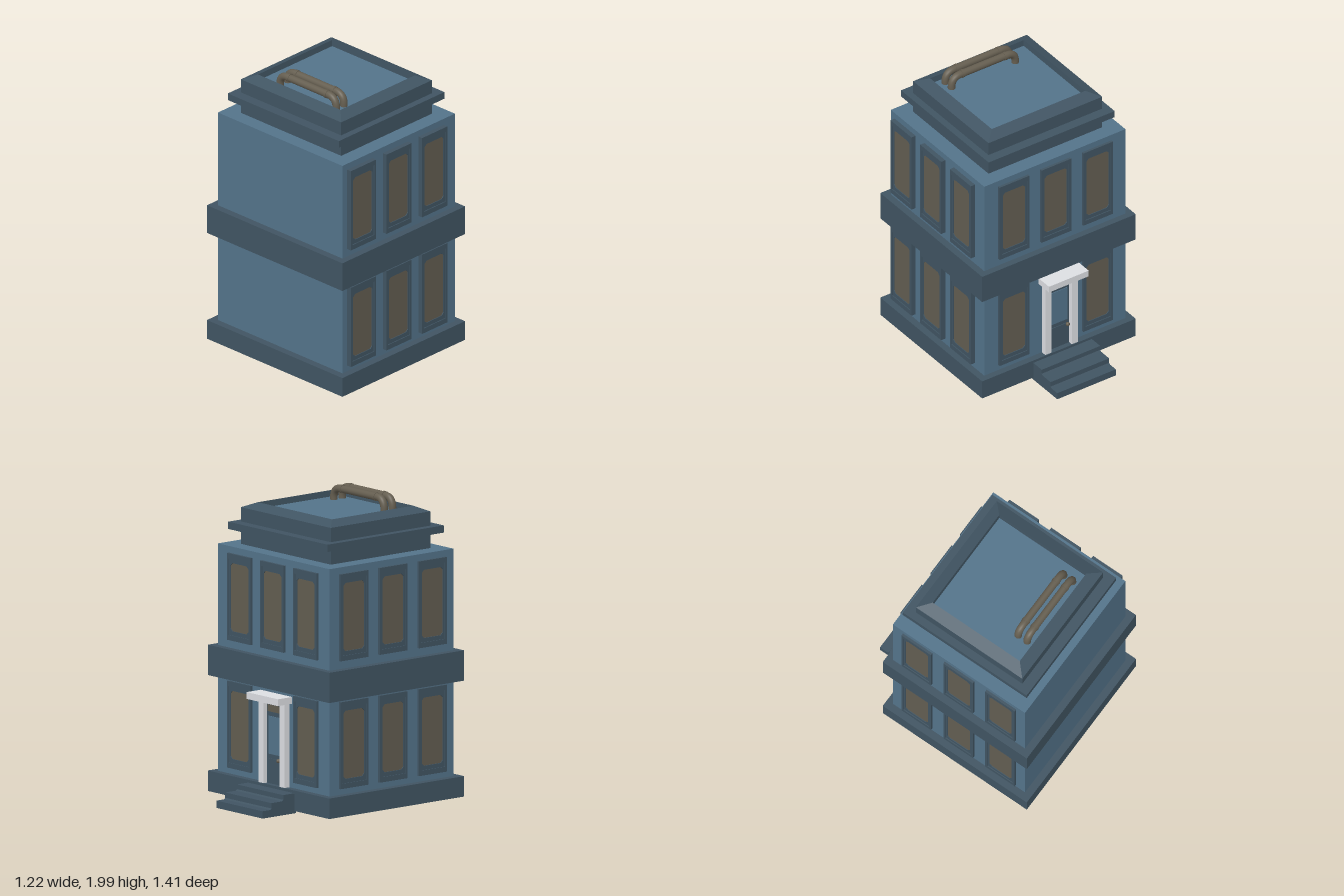
import * as THREE from 'three';

const mat = (name, color) => {
  const m = new THREE.MeshStandardMaterial({ color });
  m.name = name;
  return m;
};

export function createModel() {
  const wall = mat('wall blue', 0x53738a);
  const trim = mat('dark trim', 0x405462);
  const glass = mat('window glass', 0x625d51);
  const pipe = mat('pipe bronze', 0x655e50);
  const white = mat('porch white', 0xdcdee2);

  const building = new THREE.Group();
  building.name = 'building';

  const add = (parent, name, geo, material, x = 0, y = 0, z = 0) => {
    const mesh = new THREE.Mesh(geo, material);
    mesh.name = name;
    mesh.position.set(x, y, z);
    parent.add(mesh);
    return mesh;
  };
  // Box given by its limits on each axis
  const box = (parent, name, material, x0, x1, y0, y1, z0, z1) =>
    add(parent, name, new THREE.BoxGeometry(x1 - x0, y1 - y0, z1 - z0), material,
      (x0 + x1) / 2, (y0 + y1) / 2, (z0 + z1) / 2);

  // Main masses
  box(building, 'base', trim, -0.61, 0.605, 0.02, 0.155, -0.435, 0.71);
  box(building, 'walls', wall, -0.56, 0.557, 0.155, 1.655, -0.39, 0.66);
  box(building, 'middleBand', trim, -0.61, 0.605, 0.785, 0.985, -0.435, 0.71);
  box(building, 'roofLedge', trim, -0.5, 0.497, 1.755, 1.803, -0.355, 0.63);

  // Hollow roof cap lofted through rectangles [half width, y, half depth]
  const loft = (levels) => {
    const pos = [];
    const corner = ([w, y, d], k) => {
      const [sx, sz] = [[1, 1], [1, -1], [-1, -1], [-1, 1]][k % 4];
      return [w * sx, y, d * sz];
    };
    for (let i = 0; i < levels.length - 1; i++) {
      for (let k = 0; k < 4; k++) {
        const a = corner(levels[i], k), b = corner(levels[i], k + 1);
        const c = corner(levels[i + 1], k + 1), d = corner(levels[i + 1], k);
        pos.push(...a, ...b, ...c, ...a, ...c, ...d);
      }
    }
    const g = new THREE.BufferGeometry();
    g.setAttribute('position', new THREE.Float32BufferAttribute(pos, 3));
    g.computeVertexNormals();
    return g;
  };
  add(building, 'roofCap', loft([
    [0.45, 1.65, 0.423], [0.45, 1.897, 0.423], [0.37, 1.932, 0.346], [0.367, 1.885, 0.343],
  ]), trim, 0, 0, 0.137);
  const floor = add(building, 'roofFloor', new THREE.PlaneGeometry(0.735, 0.687), wall, 0, 1.89, 0.137);
  floor.rotation.x = -Math.PI / 2;

  // Windows: stepped frame around a pane with clipped corners, facing +z
  const outline = (w, h, c, Type = THREE.Shape) => {
    const x = w / 2, y = h / 2;
    const pts = c
      ? [[-x + c, -y], [x - c, -y], [x, -y + c], [x, y - c], [x - c, y], [-x + c, y], [-x, y - c], [-x, -y + c]]
      : [[-x, -y], [x, -y], [x, y], [-x, y]];
    return new Type(pts.map((p) => new THREE.Vector2(...p)));
  };
  const frame = (w, h, iw, ih, c, depth) => {
    const s = outline(w, h, 0);
    s.holes.push(outline(iw, ih, c, THREE.Path));
    return new THREE.ExtrudeGeometry(s, { depth, bevelEnabled: false });
  };
  const outerFrame = frame(0.235, 0.573, 0.203, 0.505, 0, 0.035);
  const innerFrame = frame(0.205, 0.507, 0.178, 0.45, 0.018, 0.025);
  const paneGeo = new THREE.PlaneGeometry(0.19, 0.47);
  const addWindow = (x, y, z, turn) => {
    const g = new THREE.Group();
    g.name = 'window';
    add(g, 'outerFrame', outerFrame, trim, 0, 0, -0.035);
    add(g, 'innerFrame', innerFrame, trim, 0, 0, -0.031);
    add(g, 'pane', paneGeo, glass, 0, 0, -0.011);
    g.position.set(x, y, z);
    g.rotation.y = turn;
    building.add(g);
  };
  [0.482, 1.325].forEach((y, storey) => {
    for (let i = -1; i <= 1; i++) {
      addWindow(0.59, y, 0.165 + i * 0.333, Math.PI / 2);
      addWindow(-0.577, y, 0.14 + i * 0.333, -Math.PI / 2);
      if (storey === 1 || i !== 0) addWindow(-0.002 + i * 0.331, y, -0.407, Math.PI);
    }
  });

  // Back entrance
  const porch = new THREE.Group();
  porch.name = 'entrance';
  building.add(porch);
  const cx = -0.028;
  box(porch, 'canopy', white, cx - 0.157, cx + 0.157, 0.71, 0.755, -0.51, -0.38);
  for (const s of [-1, 1]) {
    box(porch, 'porchColumn', white, cx + s * 0.105 - 0.025, cx + s * 0.105 + 0.025, 0.135, 0.71, -0.43, -0.38);
  }
  box(porch, 'door', trim, cx - 0.085, cx + 0.085, 0.14, 0.71, -0.4, -0.38);
  box(porch, 'doorPanel', wall, cx - 0.062, cx + 0.062, 0.35, 0.6, -0.405, -0.399);
  box(porch, 'lowerDoorPanel', trim, cx - 0.062, cx + 0.062, 0.18, 0.32, -0.405, -0.399);
  box(porch, 'transomWindow', glass, cx - 0.07, cx + 0.07, 0.63, 0.675, -0.405, -0.399);
  add(porch, 'doorKnob', new THREE.SphereGeometry(0.014, 12, 8), pipe, cx - 0.055, 0.32, -0.42);

  // Entrance steps, side profile swept along x
  const profile = [[0.42, 0.005], [0.705, 0.005], [0.705, 0.053], [0.64, 0.053], [0.63, 0.062],
    [0.63, 0.097], [0.54, 0.097], [0.53, 0.106], [0.53, 0.137], [0.42, 0.137]];
  const steps = add(porch, 'steps', new THREE.ExtrudeGeometry(
    new THREE.Shape(profile.map((p) => new THREE.Vector2(...p))),
    { depth: 0.463, bevelEnabled: false }), trim, -0.262, 0, 0);
  steps.rotation.y = Math.PI / 2;

  // Two roof pipes with bent ends and collars
  const xL = -0.218, xR = 0.285, top = 1.972, r = 0.07;
  const v = (x, y) => new THREE.Vector3(x, y, 0);
  const path = new THREE.CurvePath();
  path.add(new THREE.LineCurve3(v(xL, 1.88), v(xL, top - r)));
  path.add(new THREE.QuadraticBezierCurve3(v(xL, top - r), v(xL, top), v(xL + r, top)));
  path.add(new THREE.LineCurve3(v(xL + r, top), v(xR - r, top)));
  path.add(new THREE.QuadraticBezierCurve3(v(xR - r, top), v(xR, top), v(xR, top - r)));
  path.add(new THREE.LineCurve3(v(xR, top - r), v(xR, 1.88)));
  const tube = new THREE.TubeGeometry(path, 64, 0.025, 14);
  const collar = new THREE.CylinderGeometry(0.028, 0.028, 0.02, 14);
  for (const z of [0.363, 0.434]) {
    const g = new THREE.Group();
    g.name = 'roofPipe';
    g.position.z = z;
    add(g, 'tube', tube, pipe);
    for (const x of [-0.135, 0.2]) add(g, 'collar', collar, pipe, x, top, 0).rotation.z = Math.PI / 2;
    building.add(g);
  }
  return building;
}
